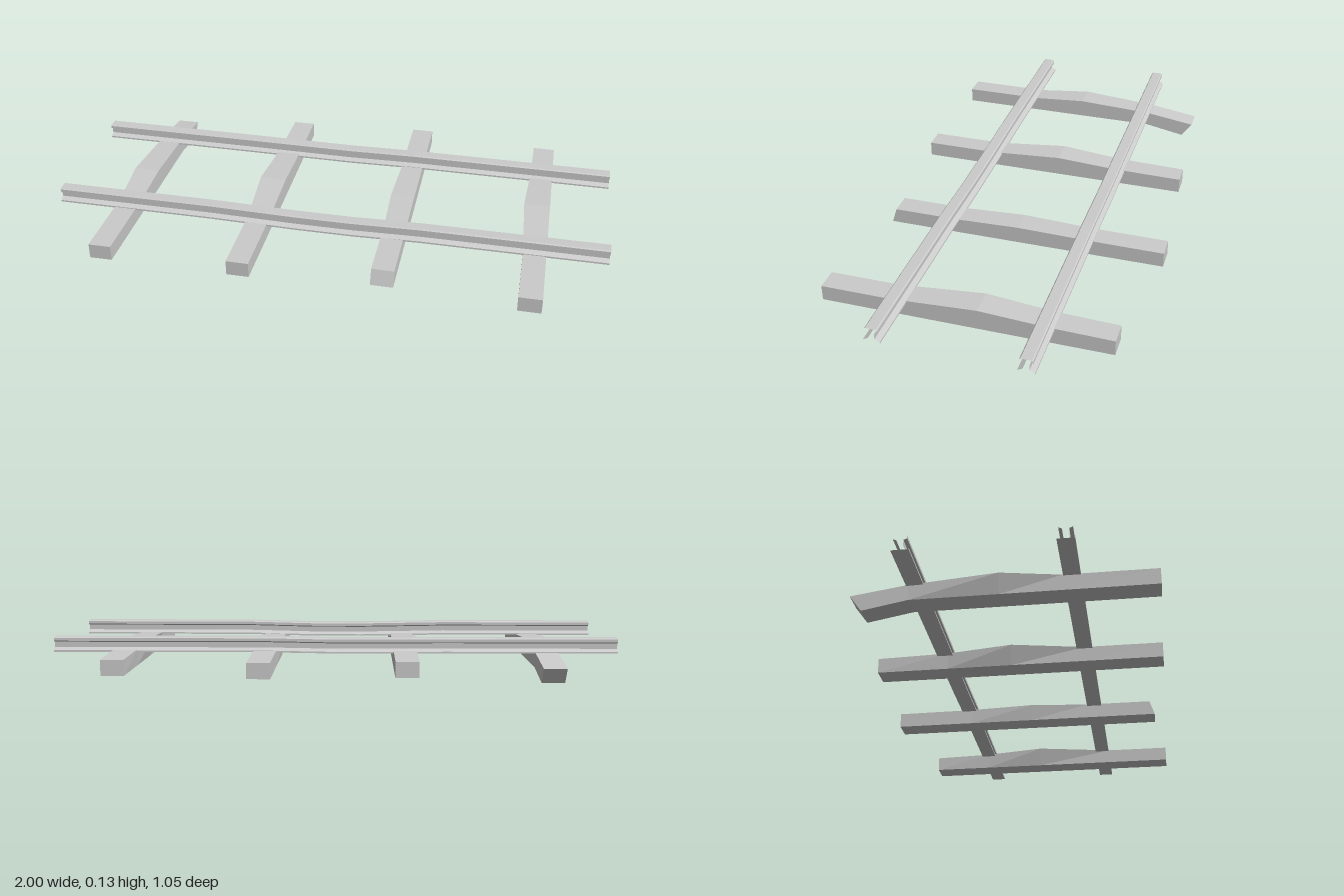
import * as THREE from 'three';

const material = new THREE.MeshStandardMaterial({ color: 0xcccccc, flatShading: true });

// Sleeper: a box cut into lengthwise stations, front to back.
// station: [zTop, zBottom, yTop, yBottom, sideways bulge of the upper -x edge]
function sleeper(x, stations) {
  const n = stations.length - 1;
  const geo = new THREE.BoxGeometry(1, 1, 1, 1, 1, n);
  const p = geo.attributes.position;
  for (let i = 0; i < p.count; i++) {
    const s = stations[Math.round((0.5 - p.getZ(i)) * n)];
    const top = p.getY(i) > 0;
    const left = p.getX(i) < 0;
    p.setXYZ(i, x + (left ? -0.04 - (top ? s[4] : 0) : 0.04), top ? s[2] : s[3], top ? s[0] : s[1]);
  }
  geo.computeVertexNormals();
  return new THREE.Mesh(geo, material);
}

// Right half of the rail section, from foot to head: [z, y]
const half = [[0.028, 0.08], [0.028, 0.086], [0.011, 0.095], [0.011, 0.114],
  [0.022, 0.119], [0.022, 0.129], [0.018, 0.133]];
const section = [...half, ...half.map(([z, y]) => [-z, y]).reverse()];

// Rail: the section swept along x with a slight sag, open at both ends
function rail(z0, path) {
  const pos = [];
  const index = [];
  const m = section.length;
  path.forEach(([x, dy], i) => {
    section.forEach(([z, y], j) => {
      pos.push(x, y + dy, z0 + z);
      if (i === 0) return;
      const k = (j + 1) % m;
      const a = (i - 1) * m + j, b = i * m + j, c = i * m + k, d = (i - 1) * m + k;
      index.push(a, b, c, a, c, d);
    });
  });
  const geo = new THREE.BufferGeometry();
  geo.setAttribute('position', new THREE.Float32BufferAttribute(pos, 3));
  geo.setIndex(index);
  const flat = geo.toNonIndexed();
  flat.computeVertexNormals();
  return new THREE.Mesh(flat, material);
}

export function createModel() {
  const group = new THREE.Group();
  const add = (mesh, name) => { mesh.name = name; group.add(mesh); };
  const lo = 0.028, hi = 0.083;

  // Sleepers, each warped a little in the middle
  add(sleeper(-0.75, [
    [0.525, 0.525, hi, lo, 0], [0.22, 0.22, hi, lo, 0], [0.02, 0.02, 0.097, lo, 0.015],
    [-0.27, -0.27, hi, lo, 0], [-0.46, -0.42, 0.055, 0, 0], // broken end bends down
  ]), 'sleeperBroken');
  add(sleeper(-0.25, [
    [0.525, 0.525, hi, lo, 0], [0.25, 0.25, hi, lo, 0], [-0.01, -0.01, 0.1, lo, 0.018],
    [-0.24, -0.24, 0.087, lo, 0.004], [-0.495, -0.495, hi, lo, 0],
  ]), 'sleeperMiddleRight');
  add(sleeper(0.247, [
    [0.467, 0.485, hi, lo, 0], [0.22, 0.22, hi, lo, 0], [0, 0, 0.09, lo, 0.007],
    [-0.24, -0.24, 0.085, lo, 0], [-0.53, -0.53, hi, lo, 0],
  ]), 'sleeperMiddleLeft');
  add(sleeper(0.747, [
    [0.525, 0.525, hi, lo, 0], [0.28, 0.28, hi, lo, 0], [-0.02, -0.02, 0.101, lo, 0.014],
    [-0.25, -0.25, 0.088, lo, 0.003], [-0.475, -0.475, hi, lo, 0],
  ]), 'sleeperLeft');

  // Rails
  add(rail(0.25, [[-1, 0], [-0.42, 0], [-0.1, -0.006], [0.1, -0.006], [0.35, 0], [1, 0]]), 'railFront');
  add(rail(-0.25, [[-1, 0], [-0.4, -0.001], [0, -0.003], [0.25, 0.001], [1, 0]]), 'railBack');
  return group;
}
